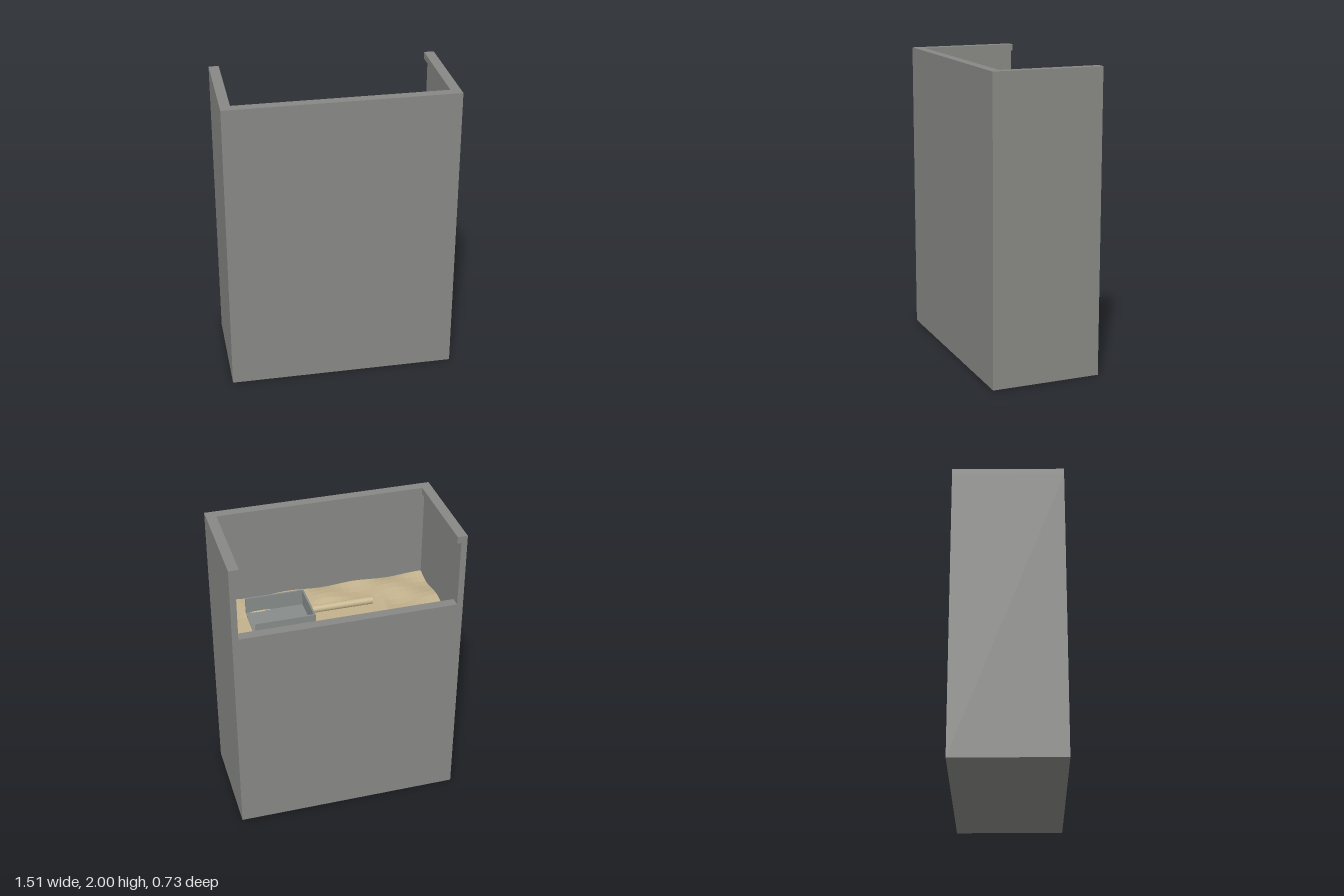
import * as THREE from 'three';

const concrete = new THREE.MeshStandardMaterial({ name: 'concreteGrey', color: 0x888985 });
const metal = new THREE.MeshStandardMaterial({ name: 'metalGrey', color: 0x878d8b });
const sand = new THREE.MeshStandardMaterial({ name: 'sandTan', color: 0xc2b18c, flatShading: true });
const wood = new THREE.MeshStandardMaterial({ name: 'woodTan', color: 0xc6b68f });

// Box given by its lower and upper corners
function box(parent, name, material, [x0, y0, z0], [x1, y1, z1]) {
  const geometry = new THREE.BoxGeometry(x1 - x0, y1 - y0, z1 - z0);
  const mesh = new THREE.Mesh(geometry, material);
  mesh.name = name;
  mesh.position.set((x0 + x1) / 2, (y0 + y1) / 2, (z0 + z1) / 2);
  parent.add(mesh);
  return mesh;
}

function addContainer(root) {
  const g = new THREE.Group();
  g.name = 'container';
  root.add(g);
  const X = 0.755, Z = 0.365, wall = 0.04, lip = 0.066, lipY = 1.955;

  // Floor, tall front and low back
  box(g, 'floor', concrete, [-X + wall, 0, -Z + wall], [X - wall, 0.04, Z - wall]);
  box(g, 'frontWall', concrete, [-X + wall, 0, Z - wall], [X - wall, lipY, Z]);
  box(g, 'backWall', concrete, [-X + wall, 0, -Z], [X - wall, 1.5, -Z + lip]);
  box(g, 'frontLip', concrete, [-X + lip, lipY, Z - lip], [X - lip, 2, Z]);

  // Side walls with an inward lip along the top
  for (const s of [-1, 1]) {
    const side = s > 0 ? 'left' : 'right';
    const span = (a, b) => [Math.min(s * a, s * b), Math.max(s * a, s * b)];
    const [w0, w1] = span(X - wall, X);
    const [l0, l1] = span(X - lip, X);
    box(g, side + 'Wall', concrete, [w0, 0, -Z], [w1, lipY, Z]);
    box(g, side + 'Lip', concrete, [l0, lipY, -Z], [l1, 2, Z]);
  }
}

// Rippled sand, smoothed flat where the scoop lies
function addSand(root) {
  const geometry = new THREE.PlaneGeometry(1.43, 0.65, 32, 12).rotateX(-Math.PI / 2);
  const p = geometry.attributes.position;
  for (let i = 0; i < p.count; i++) {
    const x = p.getX(i), z = p.getZ(i);
    const flat = x > -0.32 && Math.abs(z) < 0.15;
    const ripple = -0.017 * Math.cos(13.66 * x) * Math.cos(15.7 * z);
    p.setY(i, flat ? 1.33 : 1.337 + ripple);
  }
  geometry.computeVertexNormals();
  const mesh = new THREE.Mesh(geometry, sand);
  mesh.name = 'sandSurface';
  root.add(mesh);
}

// Open-ended scoop with a round handle
function addScoop(root) {
  const g = new THREE.Group();
  g.name = 'scoop';
  root.add(g);
  const x0 = 0.165, x1 = 0.56, z = 0.157, y0 = 1.325, y1 = 1.448, t = 0.012;
  box(g, 'scoopFloor', metal, [x0, y0, -z], [x1, y0 + 0.015, z]);
  box(g, 'scoopBack', metal, [x0, y0 + 0.015, -z], [x0 + t, y1, z]);
  for (const [name, a] of [['scoopRightSide', -z], ['scoopLeftSide', z - t]]) {
    box(g, name, metal, [x0 + t, y0 + 0.015, a], [x1, y1, a + t]);
  }
  const handle = new THREE.Mesh(new THREE.CylinderGeometry(0.025, 0.025, 0.425, 16), wood);
  handle.name = 'scoopHandle';
  handle.rotation.z = Math.PI / 2;
  handle.position.set(-0.0475, 1.388, -0.002);
  g.add(handle);
}

export function createModel() {
  const root = new THREE.Group();
  root.name = 'sandBin';
  addContainer(root);
  addSand(root);
  addScoop(root);
  return root;
}
